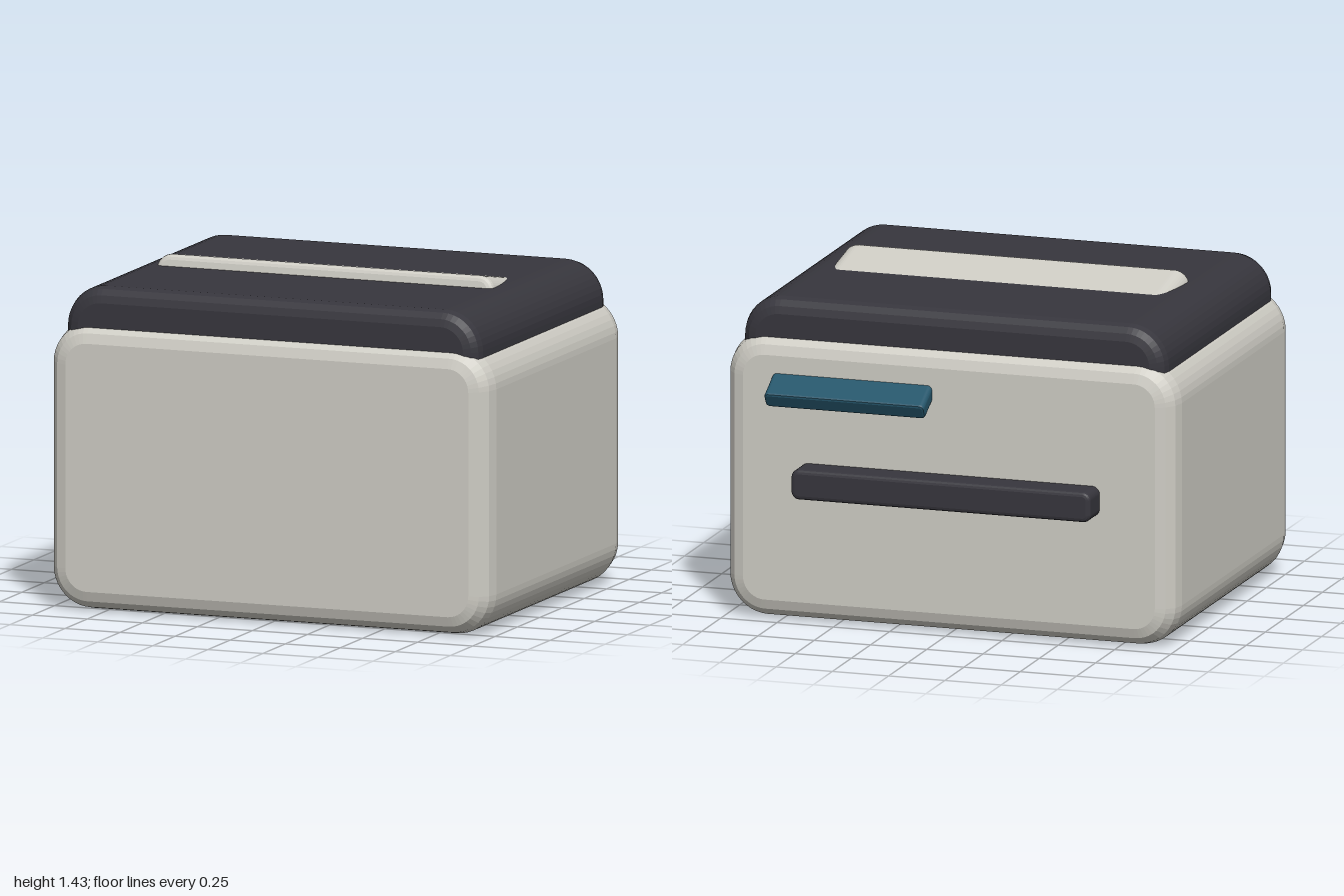
import * as THREE from 'three';

const mat = (name, color) => {
  const m = new THREE.MeshStandardMaterial({ color });
  m.name = name;
  return m;
};

// Rounded rectangle, inset for the bevel; rt and rb are the top and bottom corner radii
function roundedRect(w, h, rt, rb) {
  const x = w / 2, y = h / 2, s = new THREE.Shape();
  s.moveTo(-x + rb, -y);
  s.lineTo(x - rb, -y);
  s.absarc(x - rb, -y + rb, rb, -Math.PI / 2, 0);
  s.lineTo(x, y - rt);
  s.absarc(x - rt, y - rt, rt, 0, Math.PI / 2);
  s.lineTo(-x + rt, y);
  s.absarc(-x + rt, y - rt, rt, Math.PI / 2, Math.PI);
  s.lineTo(-x, -y + rb);
  s.absarc(-x + rb, -y + rb, rb, Math.PI, Math.PI * 1.5);
  return s;
}

// Block with rounded front outline and bevelled front and back edges, centred on its origin
function block(name, material, [w, h, d], { rt, rb = rt, size, thick = size, segs = 3 }) {
  const shape = roundedRect(w - 2 * size, h - 2 * size, rt - size, rb - size);
  const geo = new THREE.ExtrudeGeometry(shape, {
    depth: d - 2 * thick, curveSegments: 5,
    bevelEnabled: true, bevelSize: size, bevelThickness: thick, bevelSegments: segs,
  });
  geo.translate(0, 0, -(d - 2 * thick) / 2);
  const mesh = new THREE.Mesh(geo, material);
  mesh.name = name;
  return mesh;
}

export function createModel() {
  const shell = mat('warm light grey', 0xcfcdc5);
  const dark = mat('charcoal', 0x37363d);
  const teal = mat('deep teal', 0x26566b);
  const model = new THREE.Group();
  model.name = 'roundedBoxDevice';

  // Main housing
  const body = block('body', shell, [2, 1.23, 1.55], { rt: 0.18, size: 0.085, thick: 0.105 });
  body.position.set(0, 0.615, 0.065);

  // Lid sunk into the top of the housing
  const lid = block('lid', dark, [1.88, 0.28, 1.465], { rt: 0.17, rb: 0.08, size: 0.065 });
  lid.position.set(0, 1.24, 0.068);

  // Tilted flap rising from the lid
  const flap = block('topFlap', shell, [1.53, 0.15, 0.44], { rt: 0.065, size: 0.025 });
  flap.rotation.x = -0.185;
  flap.position.set(0, 1.318, -0.012);

  // Long bar on the back
  const bar = block('backBar', dark, [1.33, 0.13, 0.24], { rt: 0.035, size: 0.018 });
  bar.position.set(-0.005, 0.625, -0.72);

  // Short drooping tab above the bar
  const tab = block('backTab', teal, [0.71, 0.07, 0.22], { rt: 0.02, size: 0.01, segs: 2 });
  tab.rotation.x = -0.5;
  tab.position.set(0.43, 1.026, -0.715);

  model.add(body, lid, flap, bar, tab);
  return model;
}
